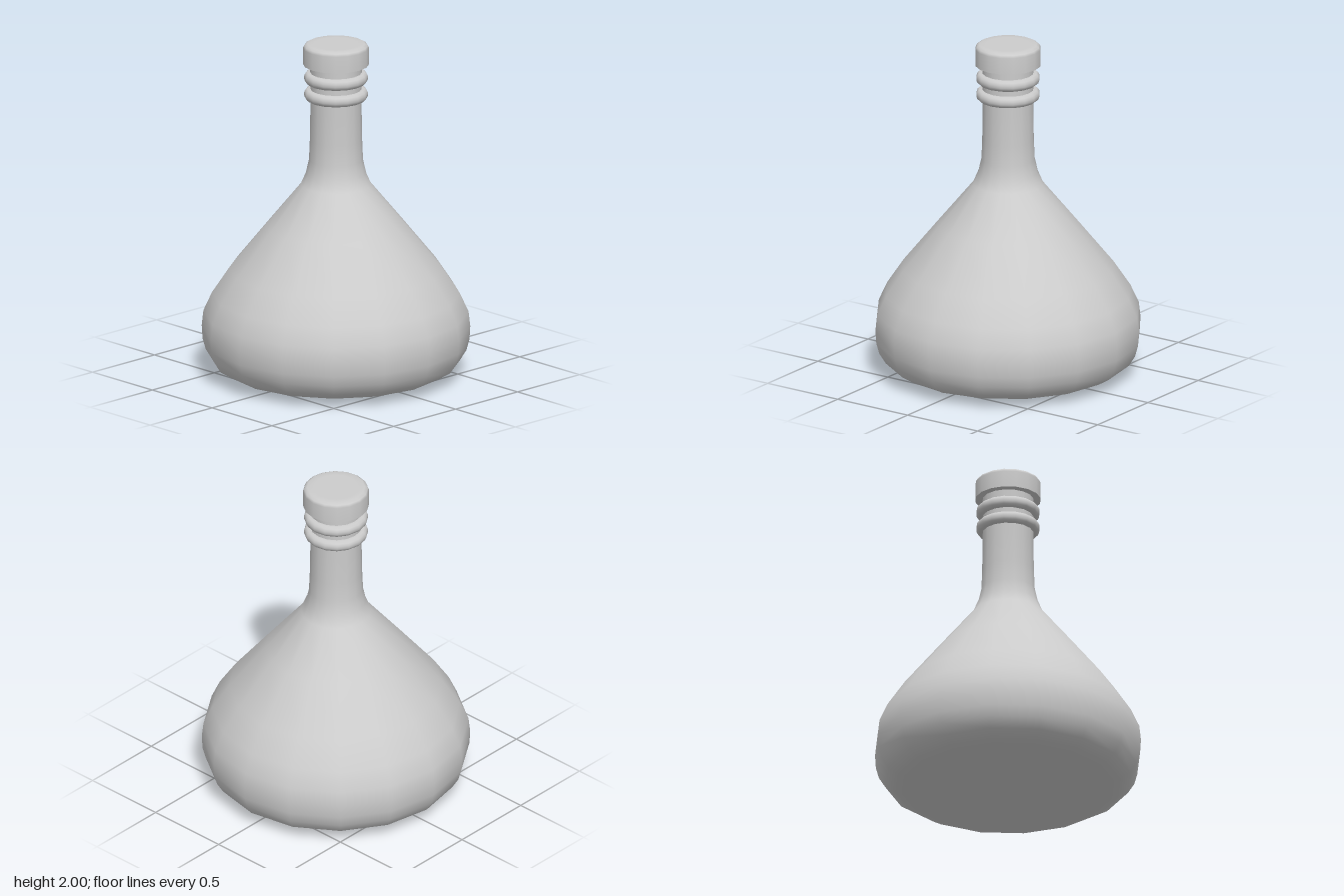
import * as THREE from 'three';

const SIDES = 16;

// Turned part from a [radius, height] profile running bottom to top.
// Repeated points make a sharp edge.
function turned(name, profile, material) {
  const points = profile.map(([r, y]) => new THREE.Vector2(r, y));
  const mesh = new THREE.Mesh(new THREE.LatheGeometry(points, SIDES), material);
  mesh.name = name;
  return mesh;
}

export function createModel() {
  const group = new THREE.Group();
  group.name = 'flask';
  const grey = new THREE.MeshStandardMaterial({ color: 0xcccccc });
  grey.name = 'light grey';

  // Flared body and slim neck
  group.add(turned('body', [
    [0, 0], [0.3, 0.005], [0.51, 0.015], [0.65, 0.042], [0.72, 0.085], [0.757, 0.145],
    [0.775, 0.21], [0.78, 0.29], [0.77, 0.38], [0.72, 0.49], [0.62, 0.64],
    [0.41, 0.9], [0.205, 1.15], [0.175, 1.22], [0.157, 1.3], [0.152, 1.42],
    [0.149, 1.6], [0.15, 1.89],
  ], grey));

  // Two rounded rings around the neck
  for (const [name, y] of [['lowerRing', 1.695], ['upperRing', 1.795]]) {
    const ring = turned(name, [
      [0.14, -0.032], [0.168, -0.032], [0.18, -0.022], [0.186, -0.008],
      [0.186, 0.008], [0.18, 0.022], [0.168, 0.032], [0.14, 0.032],
    ], grey);
    ring.position.y = y;
    group.add(ring);
  }

  // Stopper with a softened upper edge
  group.add(turned('stopper', [
    [0, 1.876], [0.192, 1.876], [0.192, 1.876], [0.192, 1.975],
    [0.185, 1.99], [0.168, 2], [0.13, 2], [0, 2],
  ], grey));

  return group;
}
